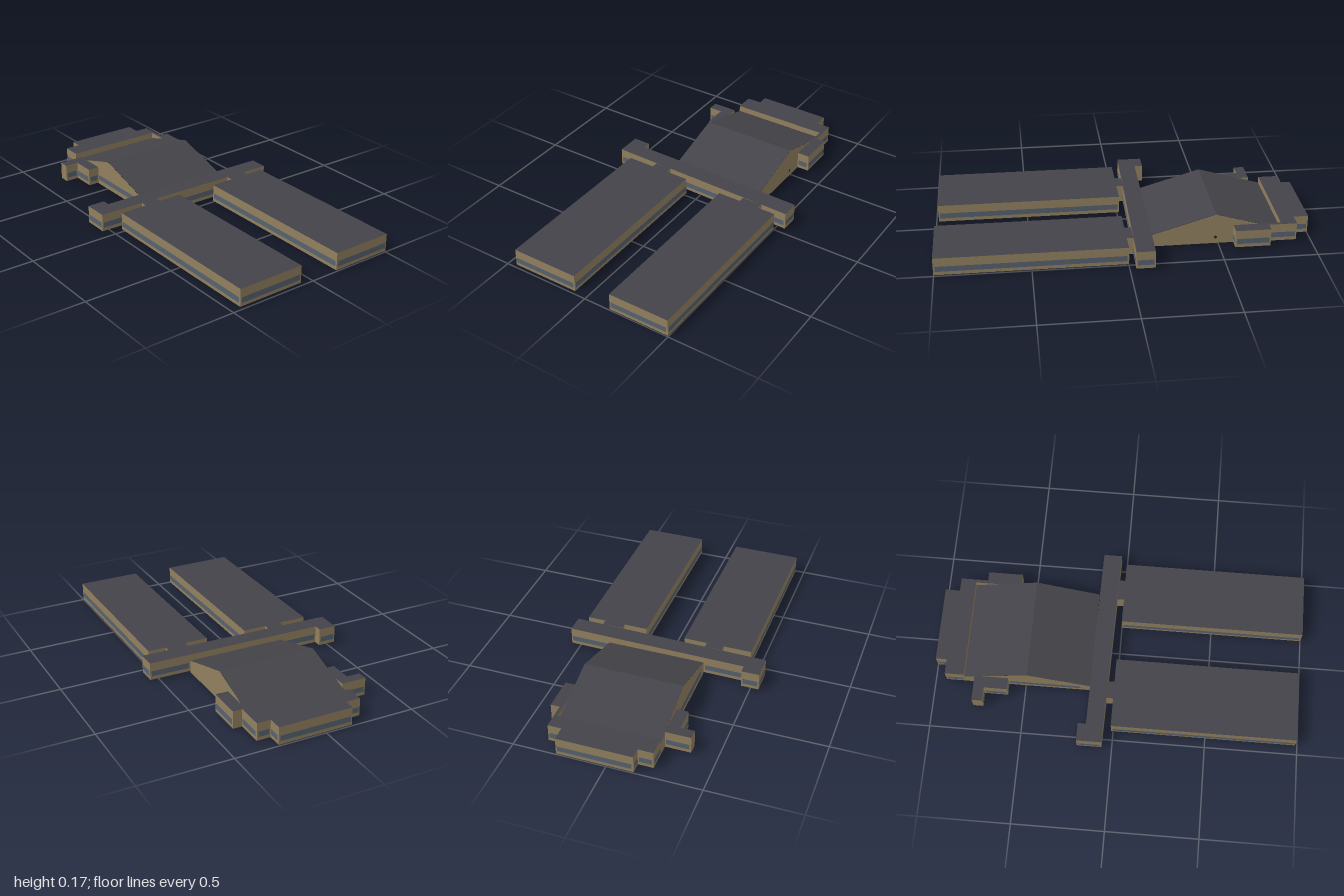
import * as THREE from 'three';

const mat = (name, color) =>
  new THREE.MeshStandardMaterial({ name, color, side: THREE.DoubleSide });

export function createModel() {
  const root = new THREE.Group();
  root.name = 'buildingComplex';
  const wallMat = mat('tanWall', 0x92805f);
  const roofMat = mat('charcoalRoof', 0x444349);
  const glassMat = mat('blueGreyGlass', 0x566270);
  const darkMat = mat('darkOpening', 0x2a2a2c);
  const BASE = 0.01, TOP = 0.107;

  const add = (parent, name, geometry, material) => {
    const m = new THREE.Mesh(geometry, material);
    m.name = name;
    parent.add(m);
    return m;
  };

  // Vertical rectangle from a to b ([x, z]), shifted sideways by off
  const panel = (parent, name, a, b, y0, y1, inset, off, material) => {
    const dx = b[0] - a[0], dz = b[1] - a[1], len = Math.hypot(dx, dz);
    const m = add(parent, name, new THREE.PlaneGeometry(len - 2 * inset, y1 - y0), material);
    m.position.set((a[0] + b[0]) / 2 - (dz / len) * off, (y0 + y1) / 2,
      (a[1] + b[1]) / 2 + (dx / len) * off);
    m.rotation.y = Math.atan2(-dz, dx);
  };

  // Open-bottomed flat-roofed block; plain lists the edges without windows
  const block = (name, pts, plain = []) => {
    const g = new THREE.Group();
    g.name = name;
    root.add(g);
    const shape = new THREE.Shape(pts.map(p => new THREE.Vector2(...p)));
    const side = THREE.ShapeUtils.area(shape.getPoints()) > 0 ? -1 : 1;
    const roof = new THREE.ShapeGeometry(shape).rotateX(Math.PI / 2).translate(0, TOP, 0);
    // Turn the sheet over so its front faces the sky
    const idx = roof.index.array;
    for (let i = 0; i < idx.length; i += 3) [idx[i], idx[i + 1]] = [idx[i + 1], idx[i]];
    roof.computeVertexNormals();
    add(g, 'flatRoof', roof, roofMat);
    pts.forEach((a, i) => {
      const b = pts[(i + 1) % pts.length];
      panel(g, 'wall', a, b, BASE, TOP, 0, 0, wallMat);
      const len = Math.hypot(b[0] - a[0], b[1] - a[1]);
      if (len > 0.06 && !plain.includes(i))
        panel(g, 'windowBand', a, b, 0.03, 0.06, 0.008, side * 0.002, glassMat);
    });
  };

  const rect = (x0, x1, z0, z1) => [[x0, z0], [x1, z0], [x1, z1], [x0, z1]];

  // Two long wings and their links to the corridor
  block('northWing', rect(0, 1, -0.5, -0.155));
  block('southWing', rect(-0.012, 0.987, 0.07, 0.45));
  block('northLink', rect(-0.035, 0, -0.4, -0.285), [1, 3]);
  block('southLink', rect(-0.048, -0.012, 0.2, 0.295), [1, 3]);

  // Slightly skewed cross corridor with a foot at the front end
  block('corridor', [
    [-0.132, -0.55], [-0.032, -0.55], [-0.055, 0.545], [-0.19, 0.545],
    [-0.19, 0.448], [-0.146, 0.448], [-0.143, 0.225], [-0.136, -0.32],
  ], [6]);

  // Stepped rooms wrapped around the hall
  block('westRooms', [
    [-1, -0.265], [-0.92, -0.265], [-0.92, -0.34], [-0.77, -0.34], [-0.77, -0.39],
    [-0.58, -0.39], [-0.58, -0.322], [-0.836, -0.322], [-0.836, 0.227],
    [-0.94, 0.227], [-0.94, 0.145], [-1, 0.145],
  ], [6, 7]);
  block('frontAnnex', [
    [-0.776, 0.227], [-0.592, 0.227], [-0.592, 0.29], [-0.72, 0.29],
    [-0.72, 0.365], [-0.776, 0.365],
  ], [0, 4]);

  // Gabled hall, open below
  const hall = new THREE.Group();
  hall.name = 'hall';
  root.add(hall);
  const X0 = -0.835, X1 = -0.14, XR = -0.485, Z0 = -0.32, Z1 = 0.225;
  const EAVE = 0.072, RIDGE = 0.175, FLOOR = 0.003;
  const gable = new THREE.Shape([
    [X0, FLOOR], [X1, FLOOR], [X1, EAVE], [XR, RIDGE], [X0, EAVE],
  ].map(p => new THREE.Vector2(...p)));
  add(hall, 'frontGable', new THREE.ShapeGeometry(gable), wallMat).position.z = Z1;
  const back = add(hall, 'backGable', new THREE.ShapeGeometry(gable), wallMat);
  back.rotation.y = Math.PI;
  back.position.set(0, 0, Z0);
  back.geometry.scale(-1, 1, 1);
  const bi = back.geometry.index.array;
  for (let i = 0; i < bi.length; i += 3) [bi[i], bi[i + 1]] = [bi[i + 1], bi[i]];
  back.geometry.computeVertexNormals();
  panel(hall, 'westWall', [X0, Z0], [X0, Z1], FLOOR, EAVE, 0, 0, wallMat);
  panel(hall, 'eastWall', [X1 - 0.004, Z1], [X1 - 0.004, Z0], FLOOR, EAVE, 0, 0, wallMat);
  panel(hall, 'windowBand', [-0.59, Z1], [-0.195, Z1], 0.03, 0.06, 0.004, 0.002, glassMat);

  // Two roof slopes
  for (const [name, xe] of [['westSlope', X0], ['eastSlope', X1]]) {
    const dx = xe - XR, dy = EAVE - RIDGE;
    const s = add(hall, name,
      new THREE.PlaneGeometry(Math.hypot(dx, dy), Z1 - Z0).rotateX(-Math.PI / 2), roofMat);
    s.position.set((xe + XR) / 2, (EAVE + RIDGE) / 2 + 0.001, (Z0 + Z1) / 2);
    s.rotation.z = Math.atan(dy / dx);
  }

  // Small round openings and the door
  const port = (x, y, z, turn) => {
    const p = add(hall, 'portHole', new THREE.CircleGeometry(0.009, 8), darkMat);
    p.position.set(x, y, z);
    p.rotation.y = turn;
  };
  for (let i = 0; i < 6; i++) {
    const z = Z0 + 0.045 + i * 0.091;
    port(X0 + 0.002, 0.035, z, Math.PI / 2);
    port(X1 + 0.003, 0.035, z, Math.PI / 2);
  }
  for (const x of [-0.7, -0.28]) port(x, 0.035, Z1 - 0.002, Math.PI);
  port(XR, 0.04, Z0 - 0.002, Math.PI);
  port(XR, 0.04, Z0 + 0.002, 0);
  panel(hall, 'door', [-0.5, Z1], [-0.465, Z1], FLOOR, 0.05, 0, -0.002, darkMat);

  return root;
}
